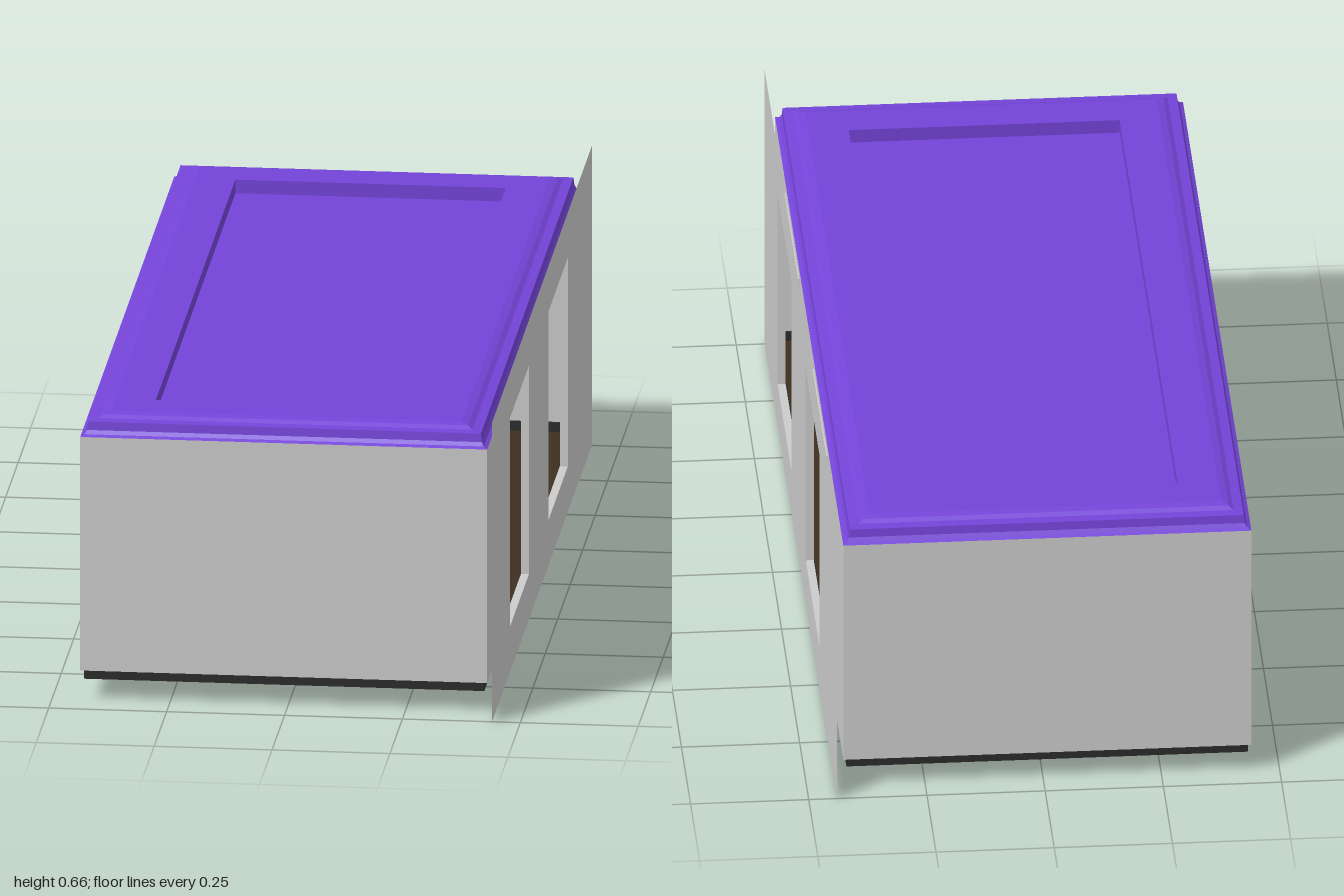
import * as THREE from 'three';

const X0 = -0.44, X1 = 0.423, Z0 = -0.95, Z1 = 0.935; // room footprint
const OUTER = 0.44; // x of the outer facade
const WINDOWS = [[0.26, 0.64], [-0.52, -0.135]]; // z ranges
const SILL = 0.1, HEAD = 0.56;

const material = (color) =>
  new THREE.MeshStandardMaterial({ color, side: THREE.DoubleSide, flatShading: true });

// Sweeps a profile of [inset, y] around the room; skip leaves out one side, cap closes the end
function sweep(profile, { skip = -1, cap = false } = {}) {
  const ring = ([d, y]) => [
    [X0 + d, y, Z0 + d], [X0 + d, y, Z1 - d], [X1 - d, y, Z1 - d], [X1 - d, y, Z0 + d],
  ];
  const pos = [];
  const quad = (a, b, c, d) => pos.push(...a, ...b, ...c, ...a, ...c, ...d);
  for (let i = 0; i < profile.length - 1; i++) {
    const lo = ring(profile[i]), hi = ring(profile[i + 1]);
    for (let s = 0; s < 4; s++) {
      const n = (s + 1) % 4;
      if (s !== skip) quad(lo[s], lo[n], hi[n], hi[s]);
    }
  }
  if (cap) quad(...ring(profile[profile.length - 1]));
  const geo = new THREE.BufferGeometry();
  geo.setAttribute('position', new THREE.Float32BufferAttribute(pos, 3));
  geo.computeVertexNormals();
  return geo;
}

// Rectangle path in (-z, y) coordinates
function rect(path, z0, z1, y0, y1) {
  path.moveTo(-z1, y0);
  path.lineTo(-z0, y0);
  path.lineTo(-z0, y1);
  path.lineTo(-z1, y1);
  path.closePath();
  return path;
}

// Flat wall facing +x with the window openings cut out
function windowWall(x, z0, z1, y0, y1) {
  const shape = rect(new THREE.Shape(), z0, z1, y0, y1);
  for (const [a, b] of WINDOWS) shape.holes.push(rect(new THREE.Path(), a, b, SILL, HEAD));
  return new THREE.ShapeGeometry(shape).rotateY(Math.PI / 2).translate(x, 0, 0);
}

export function createModel() {
  const model = new THREE.Group();
  const grey = material(0xcccccc);
  const purple = material(0x7444d8);
  const black = material(0x2b2b2b);
  const brown = material(0x3d3020);
  const add = (name, geo, mat) => {
    const mesh = new THREE.Mesh(geo, mat);
    mesh.name = name;
    model.add(mesh);
    return mesh;
  };

  // Room walls: three plain, one with windows
  add('roomWalls', sweep([[0, 0.065], [0, 0.58]], { skip: 2 }), grey);
  add('innerWindowWall', windowWall(X1, Z0, Z1, 0.065, 0.58), grey);
  add('outerFacade', windowWall(OUTER, -1, 1, 0, 0.66), grey);

  // Reveals joining the two window walls
  const depth = OUTER - X1, midX = (OUTER + X1) / 2, midY = (SILL + HEAD) / 2;
  for (const [a, b] of WINDOWS) {
    const reveal = new THREE.Group();
    reveal.name = 'windowReveal';
    for (const y of [SILL, HEAD]) {
      const ledge = new THREE.Mesh(new THREE.PlaneGeometry(depth, b - a).rotateX(-Math.PI / 2), grey);
      ledge.position.set(midX, y, (a + b) / 2);
      reveal.add(ledge);
    }
    for (const z of [a, b]) {
      const jamb = new THREE.Mesh(new THREE.PlaneGeometry(depth, HEAD - SILL), grey);
      jamb.position.set(midX, midY, z);
      reveal.add(jamb);
    }
    model.add(reveal);
  }

  // Skirting board and floor
  add('skirting', sweep([[0, 0.065], [0.007, 0.065], [0.007, 0.045]]), black);
  add('floor', sweep([[0.007, 0.045], [0.008, 0.045]], { cap: true }), brown);

  // Cornice mouldings running into a ceiling with a dropped centre panel
  add('ceiling', sweep([
    [0, 0.58], [0.008, 0.584], [0.013, 0.592], [0.015, 0.61], [0.035, 0.612],
    [0.045, 0.618], [0.06, 0.622], [0.145, 0.622], [0.145, 0.592],
  ], { cap: true }), purple);

  return model;
}
